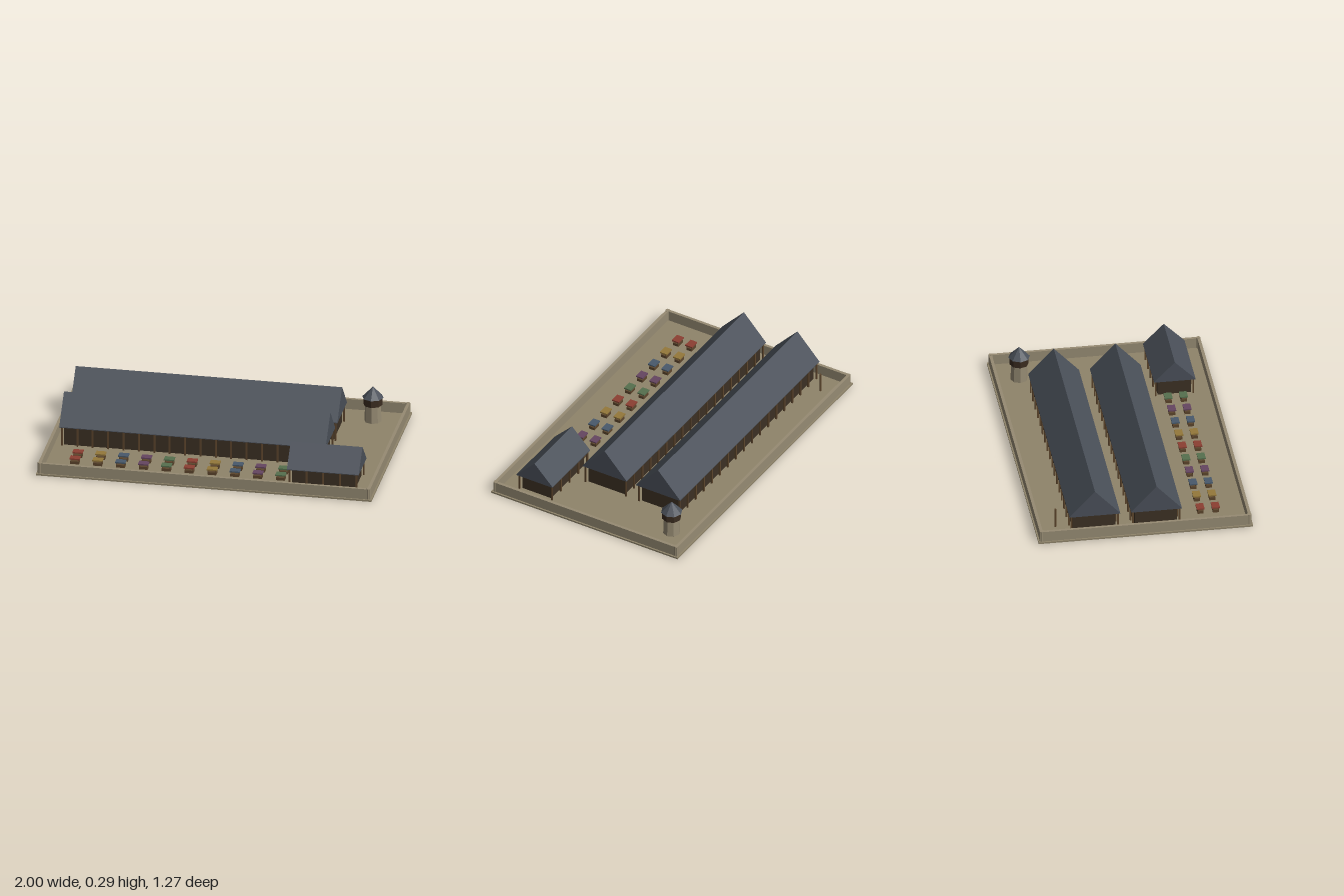
import * as THREE from 'three';

const mat = (color) => new THREE.MeshStandardMaterial({ color, flatShading: true });
const earth = mat(0x8f846a), stone = mat(0x968b73), slate = mat(0x4a5059);
const darkWood = mat(0x3c3024), postWood = mat(0x5c452c), hatch = mat(0x3a2c20);
const cloths = [0x8c3f32, 0x94783a, 0x48596b, 0x654560, 0x56704e].map(mat);

const FLOOR = 0.01;

function add(parent, name, geometry, material, x, y, z) {
  const mesh = new THREE.Mesh(geometry, material);
  mesh.name = name;
  mesh.position.set(x, y, z);
  parent.add(mesh);
  return mesh;
}

// Box standing on height y
function box(parent, name, material, w, h, d, x, y, z) {
  return add(parent, name, new THREE.BoxGeometry(w, h, d), material, x, y + h / 2, z);
}

// Eight-sided column standing on height y
function column(parent, name, material, rTop, rBottom, h, x, y, z, sides = 8) {
  return add(parent, name, new THREE.CylinderGeometry(rTop, rBottom, h, sides), material, x, y + h / 2, z);
}

// Long timber hall: dark core, rows of posts and a gabled roof along x
function hall({ name, x, z, length, width, eave, ridge, posts }) {
  const group = new THREE.Group();
  group.name = name;
  group.position.set(x, 0, z);
  const half = width / 2;
  box(group, 'hallBody', darkWood, length - 0.05, eave - FLOOR, width - 0.05, 0, FLOOR, 0);

  const reach = length - 0.028;
  for (let i = 0; i < posts; i++) {
    const px = -reach / 2 + (reach * i) / (posts - 1);
    for (const side of [-1, 1])
      box(group, 'post', postWood, 0.01, eave - FLOOR, 0.01, px, FLOOR, side * (half - 0.012));
  }

  // Closed gable prism with a thin eave edge
  const gable = new THREE.Shape([
    new THREE.Vector2(-half, eave), new THREE.Vector2(half, eave),
    new THREE.Vector2(half, eave + 0.004), new THREE.Vector2(0, ridge),
    new THREE.Vector2(-half, eave + 0.004),
  ]);
  const roof = new THREE.ExtrudeGeometry(gable, { depth: length, bevelEnabled: false });
  roof.translate(0, 0, -length / 2);
  roof.rotateY(Math.PI / 2);
  add(group, 'gableRoof', roof, slate, 0, 0, 0);
  return group;
}

// Market stall: counter, short uprights and a coloured top
function stall(x, z, cloth) {
  const group = new THREE.Group();
  group.name = 'marketStall';
  group.position.set(x, 0, z);
  box(group, 'counter', postWood, 0.052, 0.017, 0.036, 0, FLOOR, 0);
  for (const sx of [-1, 1]) for (const sz of [-1, 1])
    box(group, 'upright', postWood, 0.003, 0.012, 0.003, sx * 0.023, FLOOR + 0.017, sz * 0.015);
  box(group, 'stallTop', cloth, 0.06, 0.008, 0.046, 0, FLOOR + 0.029, 0);
  return group;
}

// Octagonal watchtower
function watchtower(x, z) {
  const group = new THREE.Group();
  group.name = 'watchtower';
  group.position.set(x, 0, z);
  column(group, 'towerShaft', stone, 0.047, 0.051, 0.107, 0, FLOOR, 0);
  column(group, 'lookoutRoom', hatch, 0.057, 0.057, 0.046, 0, 0.115, 0);
  add(group, 'towerRoof', new THREE.ConeGeometry(0.064, 0.068, 8), slate, 0, 0.195, 0);
  return group;
}

export function createModel() {
  const model = new THREE.Group();
  model.name = 'marketCompound';

  box(model, 'ground', earth, 2, FLOOR, 1.27, 0, 0, 0);

  // Enclosing wall with corner columns
  const wallH = 0.064;
  for (const s of [-1, 1]) {
    box(model, 'longWall', stone, 1.98, wallH, 0.018, 0, FLOOR, s * 0.617);
    box(model, 'sideWall', stone, 0.018, wallH, 1.216, s * 0.981, FLOOR, 0);
    for (const t of [-1, 1])
      column(model, 'cornerColumn', stone, 0.014, 0.014, wallH + 0.002, s * 0.979, FLOOR, t * 0.615);
  }

  // Two long halls and the smaller front hall
  const long = { x: -0.146, length: 1.588, width: 0.3, eave: 0.127, ridge: 0.293, posts: 18 };
  model.add(hall({ ...long, name: 'backHall', z: -0.293 }));
  model.add(hall({ ...long, name: 'middleHall', z: 0.072 }));
  model.add(hall({
    name: 'frontHall', x: 0.688, z: 0.398, length: 0.428, width: 0.246,
    eave: 0.11, ridge: 0.239, posts: 5,
  }));

  // Two rows of stalls
  for (let i = 0; i < 10; i++)
    for (const z of [0.35, 0.441])
      model.add(stall(-0.803 + i * 0.1363, z, cloths[i % cloths.length]));

  model.add(watchtower(0.797, -0.475));
  column(model, 'pole', postWood, 0.006, 0.006, 0.12, -0.837, FLOOR, -0.512);

  return model;
}
